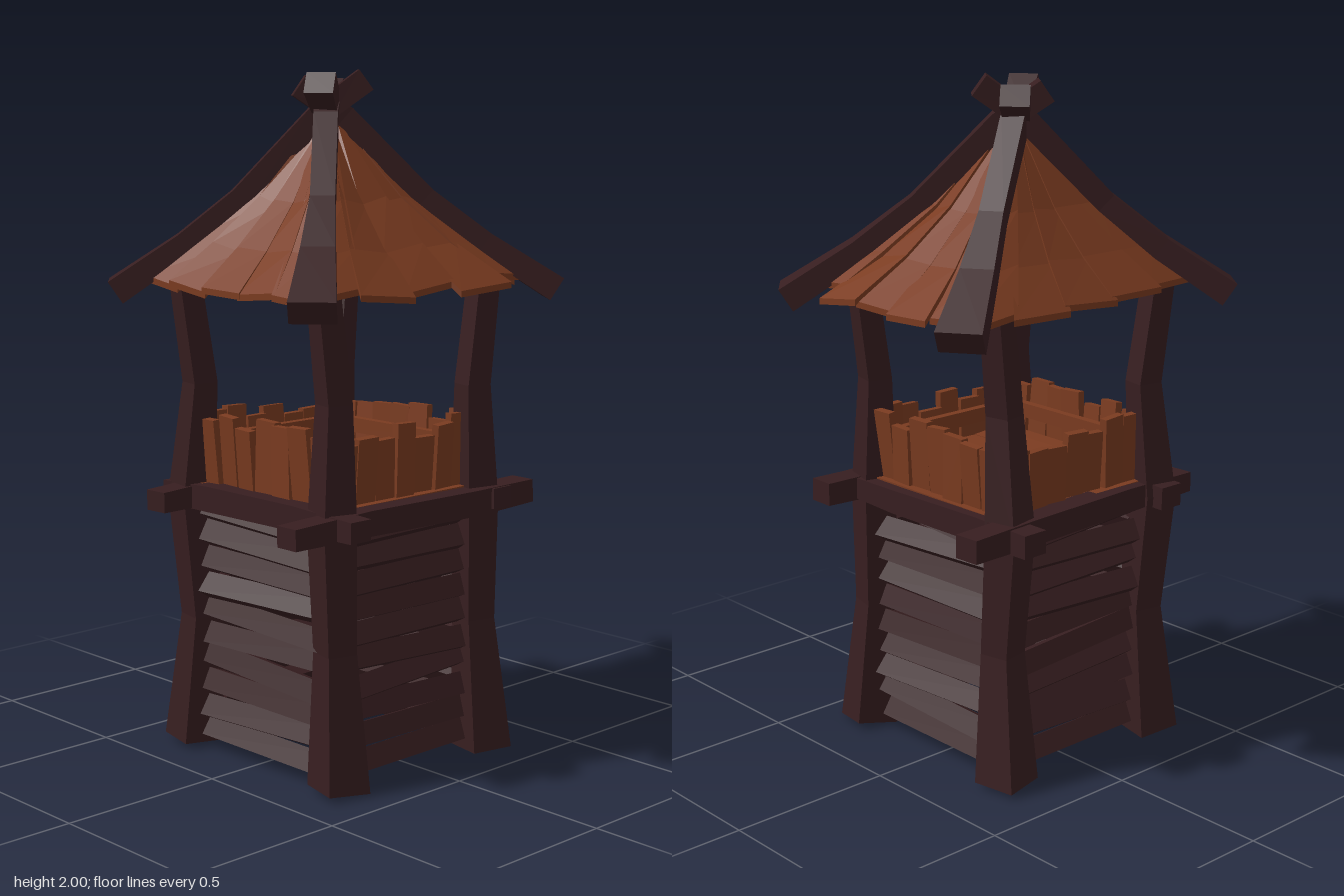
import * as THREE from 'three';

const V = (x, y, z) => new THREE.Vector3(x, y, z);

// small seeded jitter in [-a, a]
let seed = 7;
const jit = (a) => {
  seed = (seed * 16807) % 2147483647;
  return (seed / 2147483647 * 2 - 1) * a;
};
const SQUARE = [[-1, -1], [1, -1], [1, 1], [-1, 1]];

// solid lofted through four-cornered sections, faceted, wound outwards
function loft(sections) {
  const tris = [];
  const quad = (a, b, c, d) => tris.push([a, b, c], [a, c, d]);
  for (let i = 0; i + 1 < sections.length; i++) {
    for (let k = 0; k < 4; k++) {
      const n = (k + 1) % 4;
      quad(sections[i][k], sections[i][n], sections[i + 1][n], sections[i + 1][k]);
    }
  }
  const first = sections[0], last = sections[sections.length - 1];
  quad(first[3], first[2], first[1], first[0]);
  quad(last[0], last[1], last[2], last[3]);
  let volume = 0;
  for (const t of tris) {
    const [a, b, c] = t.map((p) => p.clone().sub(first[0]));
    volume += a.dot(b.cross(c));
  }
  if (volume < 0) tris.forEach((t) => t.reverse());
  const g = new THREE.BufferGeometry().setFromPoints(tris.flat());
  g.computeVertexNormals();
  return g;
}

// rectangular timber along a path, with a width and height at each point
function timber(path, widths, heights) {
  return loft(path.map((p, i) => {
    const t = path[Math.min(i + 1, path.length - 1)].clone().sub(path[Math.max(i - 1, 0)]).normalize();
    const side = t.clone().cross(V(0, 1, 0)).normalize();
    const up = side.clone().cross(t);
    return SQUARE.map(([a, b]) =>
      p.clone().addScaledVector(side, a * widths[i] / 2).addScaledVector(up, b * heights[i] / 2));
  }));
}

export function createModel() {
  seed = 7;
  const dark = new THREE.MeshStandardMaterial({ color: 0x371e20 });
  dark.name = 'darkTimber';
  const brown = new THREE.MeshStandardMaterial({ color: 0x7a3b20 });
  brown.name = 'brownPlank';

  const model = new THREE.Group();
  model.name = 'watchtower';
  const add = (parent, name, geometry, material) => {
    const m = new THREE.Mesh(geometry, material);
    m.name = name;
    parent.add(m);
    return m;
  };

  // bent corner posts, each turned a little about its length
  const heights = [0, 0.4, 0.76, 1.1, 1.4];
  const widths = [0.13, 0.09, 0.102, 0.076, 0.07];
  const postX = { left: [0.27, 0.255, 0.25, 0.243, 0.285], right: [-0.318, -0.31, -0.325, -0.312, -0.35] };
  const postZ = { front: [0.335, 0.312, 0.315, 0.31, 0.31], back: [-0.297, -0.265, -0.29, -0.26, -0.275] };
  const turns = { frontleft: 0.25, frontright: 0.25, backleft: -0.2, backright: 0.2 };
  for (const [zn, zs] of Object.entries(postZ)) {
    for (const [xn, xs] of Object.entries(postX)) {
      const c = Math.cos(turns[zn + xn]), s = Math.sin(turns[zn + xn]);
      const sections = heights.map((y, i) => SQUARE.map(([a, b]) => V(
        xs[i] + (a * c - b * s) * widths[i] / 2,
        i ? y : 0.012 + jit(0.012),
        zs[i] + (a * s + b * c) * widths[i] / 2)));
      add(model, `${zn}${xn}Post`, loft(sections), dark);
    }
  }

  // rails lapped round the posts
  const rails = [
    ['frontRail', V(-0.52, 0.765, 0.345), V(0.42, 0.77, 0.355)],
    ['backRail', V(-0.475, 0.765, -0.27), V(0.44, 0.77, -0.32)],
    ['rightRail', V(-0.335, 0.77, 0.44), V(-0.325, 0.765, -0.37)],
    ['leftRail', V(0.28, 0.77, 0.4), V(0.265, 0.765, -0.41)],
  ];
  for (const [name, a, b] of rails) {
    const path = [a, a.clone().lerp(b, 0.3), a.clone().lerp(b, 0.75), b];
    path[1].y += jit(0.006);
    path[2].y += jit(0.006);
    add(model, name, timber(path, [0.075, 0.075, 0.075, 0.08], [0.06, 0.072, 0.075, 0.068]), dark);
  }

  // four sides: tilted wall boards below, upright fence planks above
  for (let s = 0; s < 4; s++) {
    const side = new THREE.Group();
    side.name = `side${s + 1}`;
    side.position.set(-0.03, 0, 0.02);
    side.rotation.y = s * Math.PI / 2;
    model.add(side);
    for (let i = 0; i < 10; i++) {
      const board = add(side, 'wallBoard', new THREE.BoxGeometry(0.53, 0.066, 0.045), dark);
      board.position.set(0, 0.058 + i * 0.074, 0.273 + jit(0.007));
      board.rotation.set(-0.5 + jit(0.14), jit(0.015), i ? jit(0.055) : 0);
    }
    for (let i = 0; i < 7; i++) {
      const h = 0.222 + jit(0.03);
      const plank = add(side, 'fencePlank', new THREE.BoxGeometry(0.074 + jit(0.006), h, 0.024), brown);
      plank.position.set(-0.231 + i * 0.077, 0.77 + h / 2, 0.273 + jit(0.008));
      plank.rotation.set(0.05 + jit(0.06), jit(0.1), jit(0.045));
    }
    const rim = add(side, 'fenceRail', new THREE.BoxGeometry(0.5, 0.045, 0.025), brown);
    rim.position.set(0, 0.925, 0.245);
    const sill = add(side, 'fenceSill', new THREE.BoxGeometry(0.52, 0.03, 0.06), brown);
    sill.position.set(0, 0.79, 0.275);
  }

  // platform boards
  for (let i = 0; i < 6; i++) {
    const board = add(model, 'floorBoard', new THREE.BoxGeometry(0.08, 0.022, 0.48), brown);
    board.position.set(-0.235 + i * 0.082, 0.85 + jit(0.008), 0.02);
    board.rotation.set(jit(0.02), jit(0.03), jit(0.08));
  }

  // roof beams flaring at the eaves and crossing past the peak
  const corners = [[-0.475, 0.4], [0.495, 0.395], [0.508, -0.378], [-0.498, -0.41]];
  const profile = [[1, 1.37], [0.68, 1.503], [0.42, 1.635], [0.05, 1.87], [-0.15, 1.96]];
  corners.forEach(([x, z], i) => {
    const cx = -0.02, cz = -0.015, shift = i % 2 ? 0.012 : -0.012;
    const path = profile.map(([f, y], k) => V(
      cx + (x - cx) * f + (k > 2 ? shift : 0), y + (k > 2 ? (i - 1.5) * 0.008 : 0), cz + (z - cz) * f));
    add(model, 'roofBeam', timber(path, [0.13, 0.095, 0.07, 0.07, 0.085], [0.075, 0.068, 0.062, 0.068, 0.07]), dark);
  });

  // roof planks narrowing to the peak, each tipped so its edge laps the next
  const eaves = [[-0.45, 0.37], [0.44, 0.37], [0.45, -0.335], [-0.45, -0.335]];
  const peak = V(-0.02, 1.88, -0.015);
  eaves.forEach(([ax, az], s) => {
    const [bx, bz] = eaves[(s + 1) % 4];
    const n = 5;
    for (let i = 0; i < n; i++) {
      const inner = i > 0 && i < n - 1;
      const out = jit(0.045) - (inner ? 0.06 : 0.01);
      const lift = jit(0.012);
      const row = (v) => {
        const edge = (u, dy) => {
          const y = v < 0.5 ? 1.4 + v * (v < 0 ? 0.12 : 0.4) : 1.6 + (v - 0.5) * 0.56;
          return V(THREE.MathUtils.lerp(ax + (bx - ax) * u, peak.x, v), y + dy,
            THREE.MathUtils.lerp(az + (bz - az) * u, peak.z, v));
        };
        const lap = 0.008 + 0.03 * Math.max(v, 0);
        const a = edge(i / n - (i ? lap : 0), 0.006 + lift);
        const b = edge((i + 1) / n + (i < n - 1 ? lap : 0), 0.006 - lift);
        return [a, b, b.clone().setY(b.y - 0.018), a.clone().setY(a.y - 0.018)];
      };
      add(model, 'roofPlank', loft([row(out), row(0.25), row(0.55), row(0.96)]), brown);
    }
  });

  return model;
}
